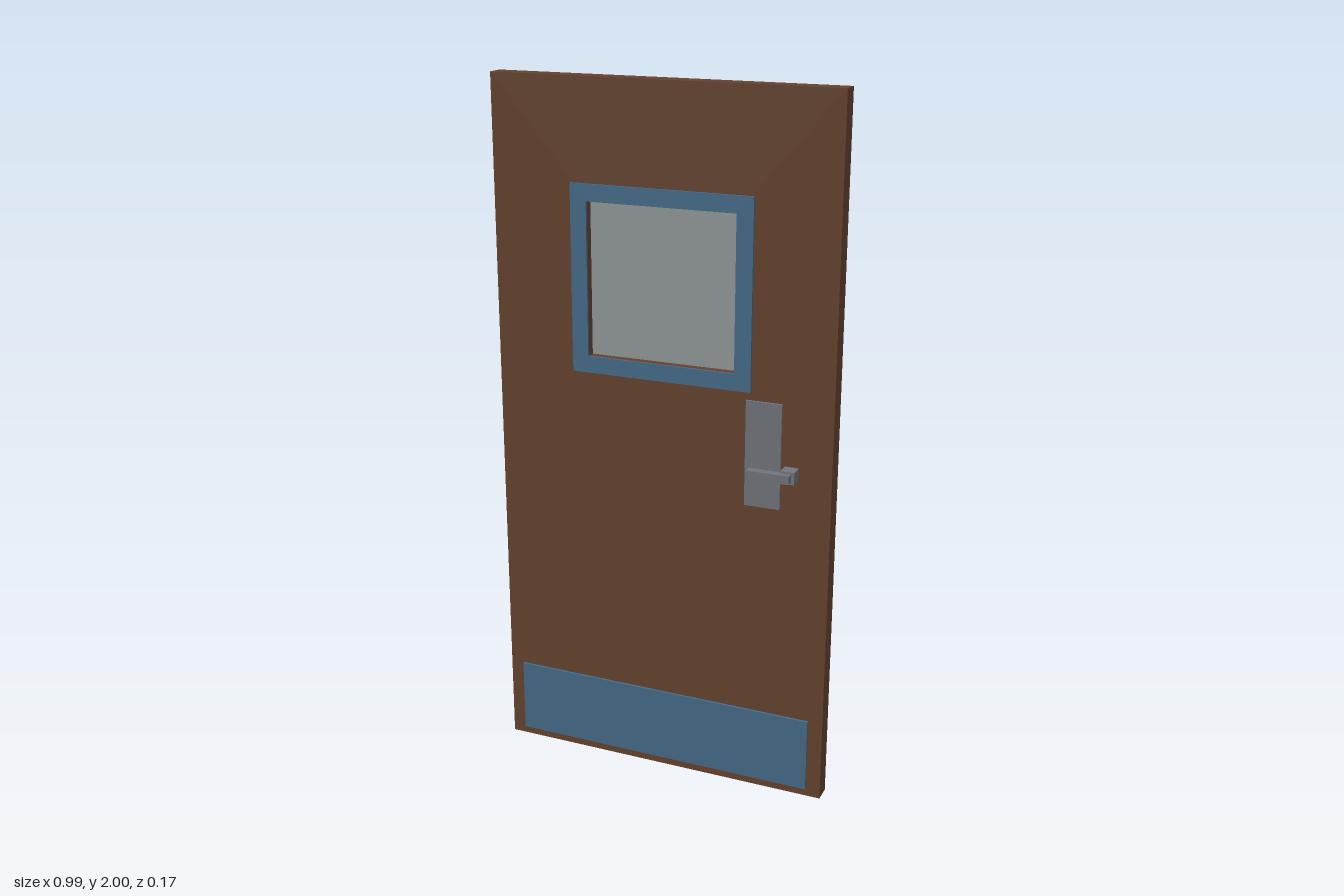
import * as THREE from 'three';

const material = (name, color) => {
  const m = new THREE.MeshStandardMaterial({ color });
  m.name = name;
  return m;
};

export function createModel() {
  const wood = material('brown wood', 0x65432f);
  const blue = material('blue trim', 0x456c8a);
  const metal = material('grey metal', 0x70757c);
  const glass = material('pale glass', 0x929898);

  const model = new THREE.Group();
  model.name = 'door';

  const HALF = 0.026;      // half thickness of the door leaf
  const TRIM = 0.007;      // thickness of the applied plates
  const WINDOW_Y = 1.458;  // window centre height
  const OPENING = 0.215;   // half size of the window opening

  const add = (parent, name, geometry, mat) => {
    const mesh = new THREE.Mesh(geometry, mat);
    mesh.name = name;
    parent.add(mesh);
    return mesh;
  };

  // Box given by its limits on each axis
  const box = (parent, name, mat, [x0, x1], [y0, y1], [z0, z1]) => {
    const mesh = add(parent, name, new THREE.BoxGeometry(x1 - x0, y1 - y0, z1 - z0), mat);
    mesh.position.set((x0 + x1) / 2, (y0 + y1) / 2, (z0 + z1) / 2);
    return mesh;
  };

  // Rectangular panel with the square window opening cut through it
  const openPanel = (halfWidth, y0, y1, depth) => {
    const rect = (path, w, a, b) =>
      path.moveTo(-w, a).lineTo(w, a).lineTo(w, b).lineTo(-w, b).closePath();
    const shape = new THREE.Shape();
    rect(shape, halfWidth, y0, y1);
    const hole = new THREE.Path();
    rect(hole, OPENING, WINDOW_Y - OPENING, WINDOW_Y + OPENING);
    shape.holes.push(hole);
    return new THREE.ExtrudeGeometry(shape, { depth, bevelEnabled: false });
  };

  // Door leaf and glazing
  add(model, 'doorLeaf', openPanel(0.495, 0, 2, HALF * 2), wood).position.z = -HALF;
  box(model, 'windowPane', glass, [-OPENING, OPENING],
    [WINDOW_Y - OPENING, WINDOW_Y + OPENING], [-0.004, 0.004]);

  // Trim and hardware repeat on both faces
  for (const side of [1, -1]) {
    const face = new THREE.Group();
    face.name = side > 0 ? 'frontFittings' : 'backFittings';
    model.add(face);
    const depth = (a, b) => (side > 0 ? [a, b] : [-b, -a]);

    const frame = add(face, 'windowFrame',
      openPanel(0.262, WINDOW_Y - 0.262, WINDOW_Y + 0.262, TRIM), blue);
    frame.position.z = side > 0 ? HALF : -HALF - TRIM;

    box(face, 'kickPlate', blue, [-0.453, 0.453], [0.024, 0.243], depth(HALF, HALF + TRIM));
    box(face, 'lockPlate', metal, [0.25, 0.352], [0.874, 1.174], depth(HALF, HALF + TRIM));
    box(face, 'handleNeck', metal, [0.362, 0.402], [0.965, 1.0], depth(HALF, 0.065));
    box(face, 'handleLever', metal, [0.272, 0.393], [0.971, 0.995], depth(0.06, 0.084));
  }

  return model;
}
